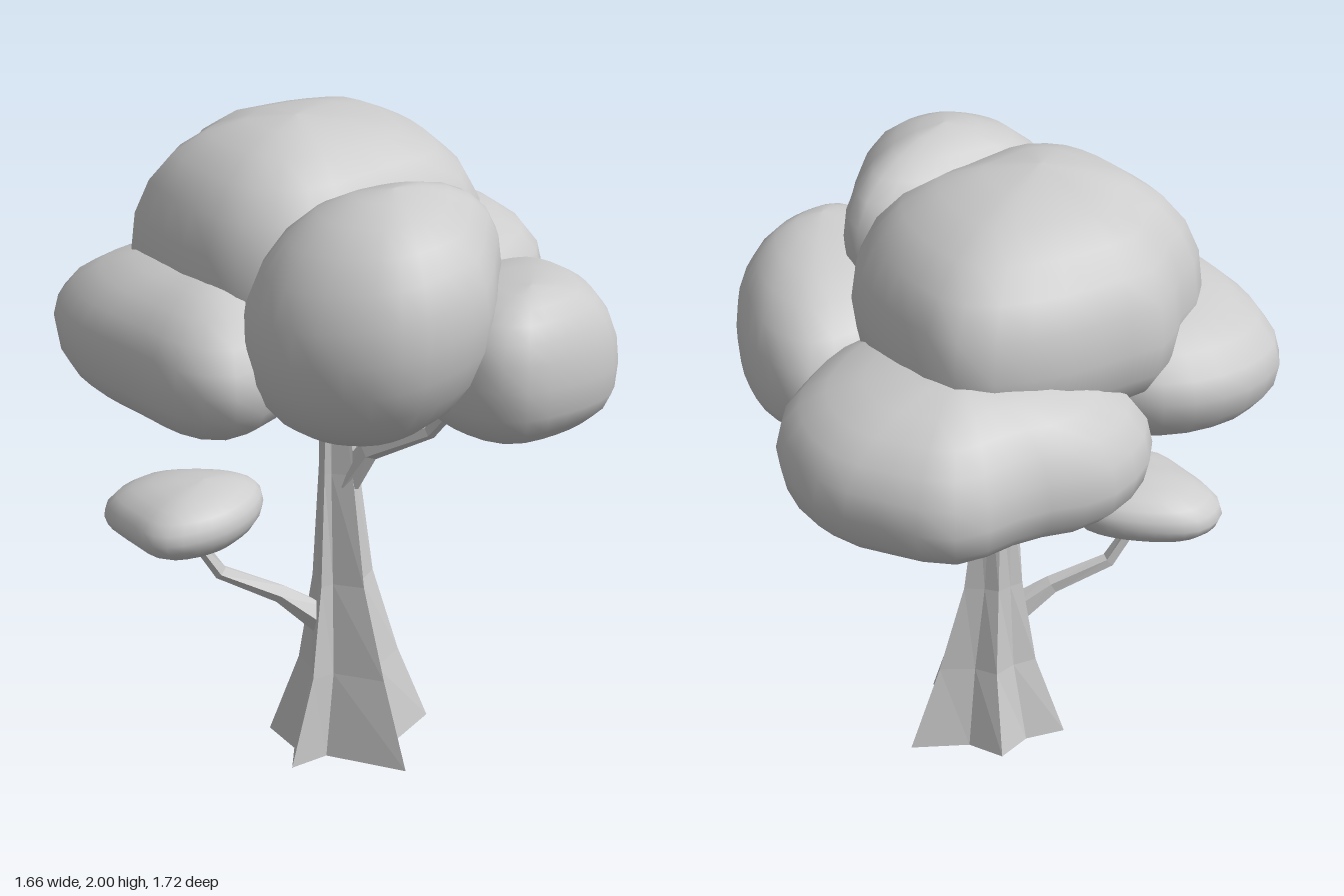
import * as THREE from 'three';

const V = (x, y, z) => new THREE.Vector3(x, y, z);

// Skin a stack of equal-sized rings (clockwise seen from the end) and close both ends.
function loft(rings, flat) {
  const n = rings[0].length, pos = [], idx = [];
  rings.forEach(r => r.forEach(p => pos.push(p.x, p.y, p.z)));
  for (let i = 0; i < rings.length - 1; i++) {
    for (let j = 0; j < n; j++) {
      const a = i * n + j, b = i * n + (j + 1) % n, c = b + n, d = a + n;
      idx.push(a, d, c, a, c, b);
    }
  }
  [0, rings.length - 1].forEach((i, end) => {
    const c = V(0, 0, 0);
    rings[i].forEach(p => c.addScaledVector(p, 1 / n));
    const k = pos.length / 3;
    pos.push(c.x, c.y, c.z);
    for (let j = 0; j < n; j++) {
      const a = i * n + j, b = i * n + (j + 1) % n;
      if (end) idx.push(k, b, a); else idx.push(k, a, b);
    }
  });
  let g = new THREE.BufferGeometry();
  g.setAttribute('position', new THREE.Float32BufferAttribute(pos, 3));
  g.setIndex(idx);
  if (flat) g = g.toNonIndexed();
  g.computeVertexNormals();
  return g;
}

// Rounded leaf mass: footprint outline [x, z], the [x, y, z] of top and bottom, the slope
// of its rim along x and z, and the fullness of each half (1 is elliptic, less is boxier).
function foliage(outline, mid, top, bottom, [tiltX, tiltZ], [fullTop, fullBottom]) {
  const curve = new THREE.CatmullRomCurve3(outline.map(([x, z]) => V(x, 0, z)), true);
  const n = 30, rows = 12, rings = [];
  const foot = curve.getSpacedPoints(n).slice(0, n);
  const c = V(0, 0, 0);
  foot.forEach(p => c.addScaledVector(p, 1 / n));
  for (let i = 0; i <= rows; i++) {
    const a = (i / rows - 0.5) * Math.PI;
    const [pole, full] = a > 0 ? [top, fullTop] : [bottom, fullBottom];
    const s = Math.max(0.02, Math.pow(Math.abs(Math.cos(a)), full));
    const h = Math.pow(Math.abs(Math.sin(a)), full);
    // ring centres drift from the footprint centre towards the pole
    const cx = c.x + (pole[0] - c.x) * (1 - s), cz = c.z + (pole[2] - c.z) * (1 - s);
    const y = mid + (pole[1] - mid) * h;
    rings.push(foot.map(p => {
      const dx = (p.x - c.x) * s, dz = (p.z - c.z) * s;
      return V(cx + dx, y + (dx * tiltX + dz * tiltZ) * (1 - h * h), cz + dz);
    }));
  }
  return loft(rings, false);
}

// Tapered five-sided limb through [x, y, z, radius] stations.
function limb(stations) {
  const pts = stations.map(s => V(s[0], s[1], s[2]));
  return loft(pts.map((p, i) => {
    const d = pts[Math.min(i + 1, pts.length - 1)].clone().sub(pts[Math.max(i - 1, 0)]).normalize();
    const u = d.clone().cross(V(0, 0, 1)).normalize(), v = d.clone().cross(u);
    return Array.from({ length: 5 }, (_, k) => {
      const a = -k / 5 * Math.PI * 2, r = stations[i][3];
      return p.clone().addScaledVector(u, r * Math.cos(a)).addScaledVector(v, r * Math.sin(a));
    });
  }), true);
}

// Trunk with five root flares that fade upwards; roots and valleys alternate.
function trunk() {
  const star = [[0.25, 0.12], [-0.01, 0.125], [-0.08, 0.23], [-0.12, 0.12], [-0.24, 0.035],
    [-0.14, -0.05], [-0.1, -0.165], [0.02, -0.145], [0.19, -0.225], [0.15, -0.005]];
  // y, centre x, root scale, valley scale
  const levels = [[0, 0, 1, 1], [0.27, 0.005, 0.62, 0.67], [0.56, -0.01, 0.37, 0.44],
    [0.92, -0.02, 0.24, 0.33], [1.4, -0.02, 0.2, 0.3]];
  return loft(levels.map(([y, cx, root, valley]) => star.map(([x, z], i) => {
    const s = i % 2 ? valley : root;
    return V(cx + x * s, y, 0.125 + z * s);
  })), true);
}

export function createModel() {
  const tree = new THREE.Group();
  tree.name = 'tree';
  const grey = new THREE.MeshStandardMaterial({ color: 0xcccccc });
  grey.name = 'light grey';
  const add = (name, geometry) => {
    const mesh = new THREE.Mesh(geometry, grey);
    mesh.name = name;
    tree.add(mesh);
  };

  // Wood
  add('trunk', trunk());
  add('upperBranch', limb([[0, 0.89, 0.115, 0.052], [0.08, 1.0, 0.125, 0.036],
    [0.28, 1.1, 0.15, 0.022], [0.36, 1.2, 0.17, 0.018]]));
  add('lowerBranch', limb([[-0.06, 0.43, 0.16, 0.05], [-0.17, 0.52, 0.22, 0.03],
    [-0.33, 0.6, 0.3, 0.024], [-0.41, 0.75, 0.35, 0.02]]));

  // Leaf masses
  add('topFoliage', foliage([[-0.14, -0.545], [0.02, -0.48], [0.2, -0.33], [0.33, -0.15], [0.365, 0],
    [0.3, 0.12], [0.2, 0.35], [0.1, 0.53], [-0.1, 0.605], [-0.3, 0.54], [-0.5, 0.4], [-0.59, 0.3],
    [-0.58, 0.1], [-0.6, -0.07], [-0.52, -0.2], [-0.35, -0.42]],
  1.61, [-0.14, 2, 0.13], [-0.1, 1.33, 0.05], [0, -0.04], [0.9, 0.8]));
  add('frontLeftFoliage', foliage([[0.4, 0.05], [0.47, 0.12], [0.52, 0.28], [0.57, 0.45], [0.58, 0.56],
    [0.48, 0.76], [0.38, 0.83], [0.2, 0.855], [0.04, 0.8], [-0.07, 0.68], [-0.1, 0.55], [0, 0.38],
    [0.14, 0.2], [0.28, 0.09]],
  1.59, [0.28, 1.93, 0.46], [0.2, 1.23, 0.53], [0.13, -0.1], [0.98, 0.98]));
  add('frontRightFoliage', foliage([[-0.83, 0.3], [-0.78, 0.1], [-0.6, -0.08], [-0.4, -0.1],
    [-0.12, 0.1], [0.02, 0.4], [0.04, 0.7], [-0.04, 0.83], [-0.18, 0.83], [-0.42, 0.71],
    [-0.66, 0.57], [-0.8, 0.4]],
  1.41, [-0.26, 1.65, 0.42], [-0.36, 1.18, 0.4], [0.03, -0.02], [1, 0.85]));
  add('leftFoliage', foliage([[0.4, -0.3], [0.5, -0.29], [0.64, -0.2], [0.78, 0], [0.825, 0.15],
    [0.78, 0.35], [0.66, 0.53], [0.56, 0.545], [0.35, 0.43], [0.22, 0.2], [0.24, -0.1]],
  1.38, [0.62, 1.65, 0.3], [0.5, 1.16, 0], [0, 0.1], [0.92, 0.75]));
  add('backFoliage', foliage([[-0.25, -0.83], [-0.02, -0.86], [0.12, -0.85], [0.27, -0.75],
    [0.38, -0.58], [0.4, -0.4], [0.38, -0.2], [0.27, -0.02], [0, 0.06], [-0.35, 0.03],
    [-0.56, -0.1], [-0.6, -0.25], [-0.55, -0.47], [-0.4, -0.62]],
  1.35, [-0.12, 1.63, -0.46], [-0.05, 1.12, -0.22], [0.06, 0], [0.97, 0.84]));
  add('smallFoliage', foliage([[-0.63, 0.26], [-0.42, 0.16], [-0.26, 0.17], [-0.2, 0.3],
    [-0.24, 0.48], [-0.38, 0.595], [-0.52, 0.53], [-0.66, 0.41]],
  0.81, [-0.36, 0.92, 0.34], [-0.38, 0.71, 0.37], [0.07, -0.03], [0.97, 0.97]));
  return tree;
}
